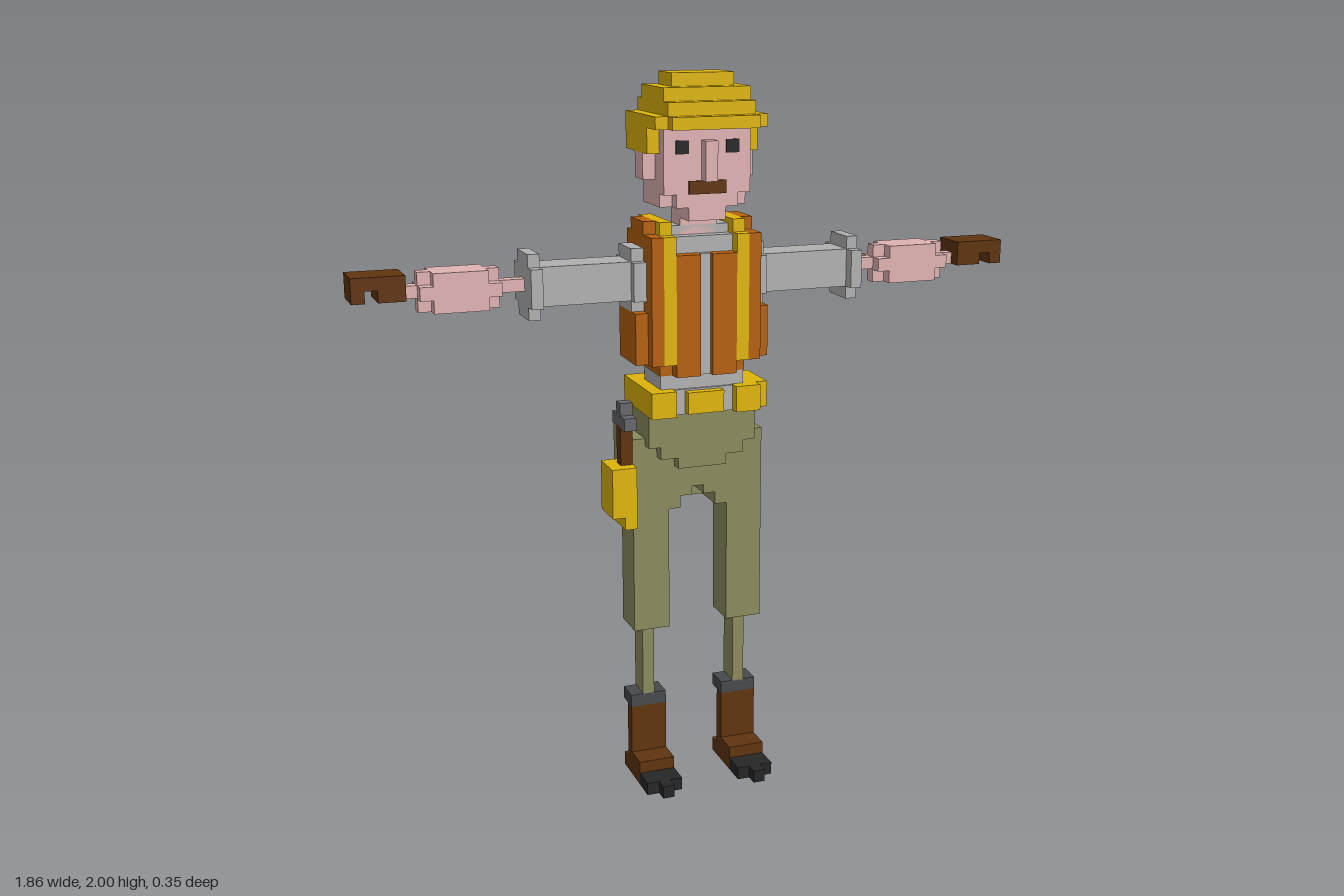
import * as THREE from 'three';

const mats = {};
for (const [name, color] of Object.entries({
  yellow: 0xddb40c, orange: 0xb5600f, brown: 0x5f340f, skin: 0xdfb2b2, grey: 0xb0b0b0,
  olive: 0x8a8b5e, black: 0x262626, slate: 0x48494c, steel: 0x66666c,
})) mats[name] = new THREE.MeshStandardMaterial({ color, flatShading: true });

export function createModel() {
  const model = new THREE.Group();

  // Box given by its limits on each axis
  const box = (name, color, x0, x1, y0, y1, z0, z1) => {
    const mesh = new THREE.Mesh(new THREE.BoxGeometry(x1 - x0, y1 - y0, z1 - z0), mats[color]);
    mesh.position.set((x0 + x1) / 2, (y0 + y1) / 2, (z0 + z1) / 2);
    mesh.name = name;
    model.add(mesh);
  };
  // Box centred on x = 0
  const mid = (name, color, w, ...r) => box(name, color, -w, w, ...r);
  // Mirrored pair of boxes
  const pair = (name, color, x0, x1, ...r) => {
    box(name + 'Left', color, x0, x1, ...r);
    box(name + 'Right', color, -x1, -x0, ...r);
  };

  // Helmet: stepped dome, brim and low back
  mid('helmetTop', 'yellow', 0.086, 1.965, 2.0, -0.035, 0.07);
  mid('helmetUpper', 'yellow', 0.121, 1.93, 1.965, -0.07, 0.105);
  mid('helmetMiddle', 'yellow', 0.121, 1.895, 1.93, -0.105, 0.14);
  mid('helmetLower', 'yellow', 0.155, 1.862, 1.895, -0.105, 0.138);
  mid('helmetBrim', 'yellow', 0.121, 1.862, 1.895, 0.138, 0.173);
  mid('helmetBack', 'yellow', 0.155, 1.795, 1.862, -0.105, -0.06);
  pair('helmetSide', 'yellow', 0.121, 0.155, 1.795, 1.862, -0.06, 0.07);

  // Head
  mid('head', 'skin', 0.121, 1.655, 1.862, -0.06, 0.07);
  mid('face', 'skin', 0.121, 1.69, 1.862, 0.07, 0.104);
  mid('jaw', 'skin', 0.086, 1.655, 1.69, 0.07, 0.104);
  mid('chin', 'skin', 0.052, 1.62, 1.655, 0.035, 0.104);
  mid('nose', 'skin', 0.017, 1.725, 1.83, 0.104, 0.138);
  mid('moustache', 'brown', 0.052, 1.69, 1.725, 0.09, 0.108);
  pair('eye', 'black', 0.052, 0.088, 1.795, 1.83, 0.09, 0.107);
  pair('ear', 'skin', 0.121, 0.155, 1.725, 1.795, -0.03, 0.035);
  mid('hair', 'brown', 0.123, 1.76, 1.795, -0.07, 0.0);
  mid('neck', 'skin', 0.052, 1.55, 1.655, -0.035, 0.035);

  // Shirt and vest
  mid('shirt', 'grey', 0.12, 1.16, 1.575, -0.068, 0.068);
  mid('shirtCollar', 'grey', 0.086, 1.575, 1.6, -0.05, 0.035);
  mid('shirtFront', 'grey', 0.017, 1.2, 1.53, 0.068, 0.085);
  pair('vestFront', 'orange', 0.017, 0.086, 1.2, 1.53, 0.06, 0.104);
  pair('vestFrontStripe', 'yellow', 0.086, 0.121, 1.235, 1.58, 0.06, 0.104);
  pair('vestShoulderStripe', 'yellow', 0.086, 0.121, 1.575, 1.615, -0.105, 0.07);
  pair('vestSide', 'orange', 0.121, 0.155, 1.235, 1.58, -0.105, 0.104);
  pair('vestShoulder', 'orange', 0.121, 0.155, 1.58, 1.615, -0.07, 0.035);
  pair('vestHip', 'orange', 0.155, 0.19, 1.235, 1.375, -0.07, 0.07);
  mid('vestHem', 'orange', 0.122, 1.2, 1.235, -0.105, 0.07);
  mid('vestBack', 'orange', 0.086, 1.2, 1.58, -0.138, -0.06);
  pair('vestBackStripe', 'yellow', 0.086, 0.121, 1.235, 1.58, -0.139, -0.06);

  // Arms: sleeve, flared cuff, wrist, forearm and gloved hand
  pair('shoulder', 'grey', 0.15, 0.19, 1.375, 1.545, -0.07, 0.035);
  pair('shoulderSide', 'grey', 0.15, 0.19, 1.405, 1.51, -0.095, 0.06);
  pair('sleeve', 'grey', 0.15, 0.45, 1.405, 1.51, -0.07, 0.035);
  pair('cuffTall', 'grey', 0.44, 0.472, 1.37, 1.545, -0.07, 0.035);
  pair('cuffWide', 'grey', 0.44, 0.472, 1.405, 1.51, -0.105, 0.068);
  pair('forearmBone', 'skin', 0.46, 0.8, 1.443, 1.476, -0.035, 0.0);
  pair('forearm', 'skin', 0.575, 0.72, 1.405, 1.51, -0.07, 0.035);
  pair('forearmEndTall', 'skin', 0.54, 0.755, 1.405, 1.51, -0.035, 0.0);
  pair('forearmEndWide', 'skin', 0.54, 0.755, 1.44, 1.476, -0.07, 0.035);
  pair('hand', 'brown', 0.79, 0.93, 1.475, 1.51, -0.07, 0.035);
  pair('palm', 'brown', 0.79, 0.862, 1.443, 1.476, -0.07, 0.035);
  pair('fingers', 'brown', 0.895, 0.93, 1.443, 1.476, -0.07, 0.035);

  // Belt with pouches
  mid('belt', 'grey', 0.15, 1.09, 1.16, -0.1, 0.075);
  mid('buckle', 'yellow', 0.052, 1.095, 1.155, 0.07, 0.1);
  pair('beltPouch', 'yellow', 0.086, 0.157, 1.09, 1.162, -0.1, 0.104);
  box('sidePouch', 'yellow', 0.155, 0.19, 1.09, 1.162, -0.07, 0.07);
  mid('beltBack', 'yellow', 0.157, 1.09, 1.162, -0.138, -0.09);
  mid('backPouch', 'yellow', 0.086, 1.092, 1.16, -0.173, -0.13);

  // Trousers
  mid('waist', 'olive', 0.155, 1.0, 1.09, -0.105, 0.07);
  mid('bellyUpper', 'olive', 0.121, 0.965, 1.0, 0.0, 0.069);
  mid('bellyLower', 'olive', 0.07, 0.935, 0.965, 0.0, 0.069);
  mid('hips', 'olive', 0.19, 0.87, 1.02, -0.105, 0.035);
  mid('seat', 'olive', 0.19, 0.87, 1.02, -0.138, -0.1);
  mid('seatBottom', 'olive', 0.155, 0.81, 0.87, -0.138, -0.07);
  pair('crotch', 'olive', 0.052, 0.1, 0.81, 0.88, -0.07, 0.034);
  pair('crotchInner', 'olive', 0.017, 0.052, 0.845, 0.88, -0.07, 0.034);
  pair('thigh', 'olive', 0.086, 0.19, 0.46, 0.88, -0.07, 0.035);
  pair('shin', 'olive', 0.121, 0.155, 0.24, 0.47, -0.035, 0.0);
  pair('calf', 'olive', 0.121, 0.155, 0.25, 0.425, -0.07, -0.035);

  // Boots
  pair('bootCuff', 'slate', 0.086, 0.19, 0.212, 0.248, -0.07, 0.0);
  pair('bootShaft', 'brown', 0.086, 0.19, 0.035, 0.212, -0.035, 0.0);
  pair('bootHeel', 'brown', 0.086, 0.19, 0.0, 0.04, -0.07, 0.0);
  pair('bootBack', 'brown', 0.121, 0.155, 0.035, 0.212, -0.07, -0.03);
  pair('bootFoot', 'brown', 0.086, 0.19, 0.0, 0.07, 0.0, 0.07);
  pair('toe', 'black', 0.086, 0.19, 0.0, 0.036, 0.07, 0.138);
  pair('toeTip', 'black', 0.121, 0.155, 0.0, 0.036, 0.138, 0.173);

  // Holster with hammer on the right hip
  box('holster', 'yellow', -0.26, -0.19, 0.81, 0.95, -0.035, 0.07);
  box('holsterBottom', 'yellow', -0.225, -0.19, 0.775, 0.81, -0.035, 0.07);
  box('hammerHandle', 'brown', -0.225, -0.19, 0.95, 1.06, 0.0, 0.035);
  box('hammerHead', 'steel', -0.225, -0.19, 1.055, 1.09, -0.035, 0.07);
  box('hammerTop', 'steel', -0.225, -0.19, 1.09, 1.125, 0.0, 0.035);

  return model;
}
